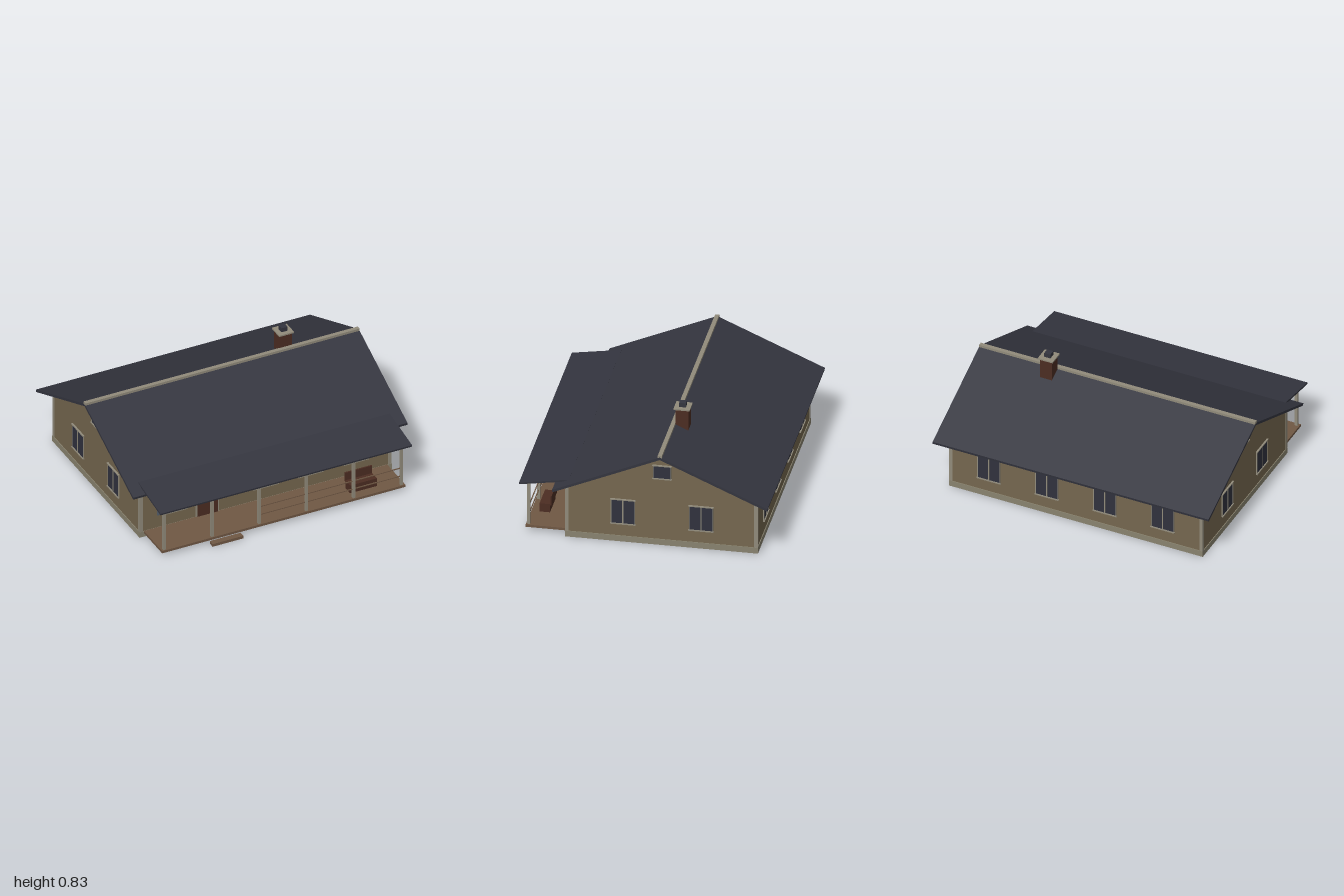
import * as THREE from 'three';

const mat = (name, color, side = THREE.FrontSide) => {
  const m = new THREE.MeshStandardMaterial({ color, side });
  m.name = name;
  return m;
};

export function createModel() {
  const M = {
    wall: mat('tan siding', 0x75674f),
    trim: mat('beige trim', 0x918b7b),
    foundation: mat('stone foundation', 0x89836f),
    roof: mat('slate roof', 0x34353f),
    glass: mat('dark glass', 0x30323e),
    wood: mat('red brown wood', 0x4c2d22),
    shutter: mat('blue grey shutters', 0x55606c),
    deck: mat('deck boards', 0x705844),
  };
  const house = new THREE.Group();
  house.name = 'house';

  // Box given by its centre and size
  const box = (parent, name, m, [x, y, z], [w, h, d]) => {
    const mesh = new THREE.Mesh(new THREE.BoxGeometry(w, h, d), m);
    mesh.name = name;
    mesh.position.set(x, y, z);
    parent.add(mesh);
    return mesh;
  };

  // Prism along x from a (z, y) profile
  const prism = (name, m, points, length) => {
    const shape = new THREE.Shape(points.map(([z, y]) => new THREE.Vector2(z, y)));
    const geo = new THREE.ExtrudeGeometry(shape, { depth: length, bevelEnabled: false });
    geo.translate(0, 0, -length / 2).rotateY(-Math.PI / 2);
    const mesh = new THREE.Mesh(geo, m);
    mesh.name = name;
    house.add(mesh);
  };

  const ridgeZ = -0.117, front = 0.525, back = -0.75, halfX = 0.915;

  // Body
  box(house, 'foundation', M.foundation, [0, 0.021, (front + back) / 2], [1.84, 0.042, 1.285]);
  prism('walls', M.wall, [[back, 0.04], [front, 0.04], [front, 0.398], [ridgeZ, 0.672], [back, 0.398]], halfX * 2);
  for (const sx of [-1, 1])
    for (const z of [front - 0.008, back + 0.008])
      box(house, 'cornerBoard', M.trim, [sx * (halfX - 0.008), 0.217, z], [0.024, 0.354, 0.024]);

  // Main roof and ridge cap
  prism('mainRoof', M.roof, [
    [0.597, 0.361], [0.6, 0.378], [ridgeZ, 0.69], [-0.834, 0.378],
    [-0.831, 0.361], [ridgeZ, 0.671],
  ], 2);
  box(house, 'ridgeCap', M.trim, [0, 0.692, ridgeZ], [2, 0.018, 0.028]);

  // Chimney
  box(house, 'chimneyStack', M.wood, [0.475, 0.71, -0.172], [0.086, 0.18, 0.086]);
  box(house, 'chimneyCap', M.trim, [0.475, 0.8, -0.172], [0.108, 0.01, 0.108]);
  box(house, 'chimneyFlue', M.roof, [0.475, 0.82, -0.172], [0.045, 0.03, 0.045]);

  // Window facing +z, turned onto its wall
  const addWindow = (pos, turn, w, h, { shutters = false, mullion = true } = {}) => {
    const g = new THREE.Group();
    g.name = 'window';
    box(g, 'pane', M.glass, [0, 0, 0.002], [w, h, 0.006]);
    if (mullion) box(g, 'mullion', M.trim, [0, 0, 0.004], [0.008, h, 0.008]);
    for (const s of [-1, 1]) {
      box(g, s > 0 ? 'lintel' : 'sill', M.trim, [0, s * (h / 2 + 0.003), 0.005], [w + 0.014, 0.007, 0.014]);
      box(g, 'sideFrame', M.trim, [s * (w / 2 + 0.001), 0, 0.003], [0.005, h, 0.008]);
      if (shutters) box(g, 'shutter', M.shutter, [s * (w / 2 + 0.022), -0.002, 0.003], [0.038, h - 0.005, 0.009]);
    }
    g.position.set(...pos);
    g.rotation.y = turn;
    house.add(g);
  };
  for (const x of [-0.665, 0, 0.33, 0.66]) addWindow([x, 0.222, front], 0, 0.17, 0.172, { shutters: true });
  for (const x of [-0.63, -0.21, 0.21, 0.63]) addWindow([x, 0.22, back], Math.PI, 0.16, 0.172);
  for (const s of [-1, 1]) {
    for (const z of [0.143, -0.377]) addWindow([s * halfX, 0.22, z], s * Math.PI / 2, 0.155, 0.172);
    addWindow([s * halfX, 0.537, ridgeZ], s * Math.PI / 2, 0.115, 0.09, { mullion: false });
  }

  // Front door
  box(house, 'doorFrame', M.trim, [-0.425, 0.192, front], [0.166, 0.303, 0.012]);
  box(house, 'door', M.wood, [-0.425, 0.188, front + 0.004], [0.146, 0.29, 0.012]);

  // Porch
  box(house, 'porchDeck', M.deck, [0, 0.035, 0.663], [1.775, 0.017, 0.268]);
  box(house, 'frontStep', M.deck, [-0.428, 0.011, 0.818], [0.224, 0.02, 0.042]);
  prism('porchRoof', M.roof, [[0.833, 0.354], [0.835, 0.366], [0.505, 0.42], [0.505, 0.407]], 1.835);
  const posts = [-0.865, -0.517, -0.173, 0.172, 0.517, 0.865];
  for (const x of posts) box(house, 'porchPost', M.trim, [x, 0.203, 0.78], [0.019, 0.32, 0.019]);
  for (const y of [0.11, 0.172])
    box(house, 'porchRail', M.deck, [0.346, y, 0.78], [1.038, 0.006, 0.006]);

  // Bench
  const bench = new THREE.Group();
  bench.name = 'bench';
  box(bench, 'benchSeat', M.wood, [0.61, 0.082, 0.704], [0.195, 0.06, 0.07]);
  box(bench, 'benchBack', M.wood, [0.61, 0.136, 0.664], [0.195, 0.068, 0.01]);
  house.add(bench);

  return house;
}
